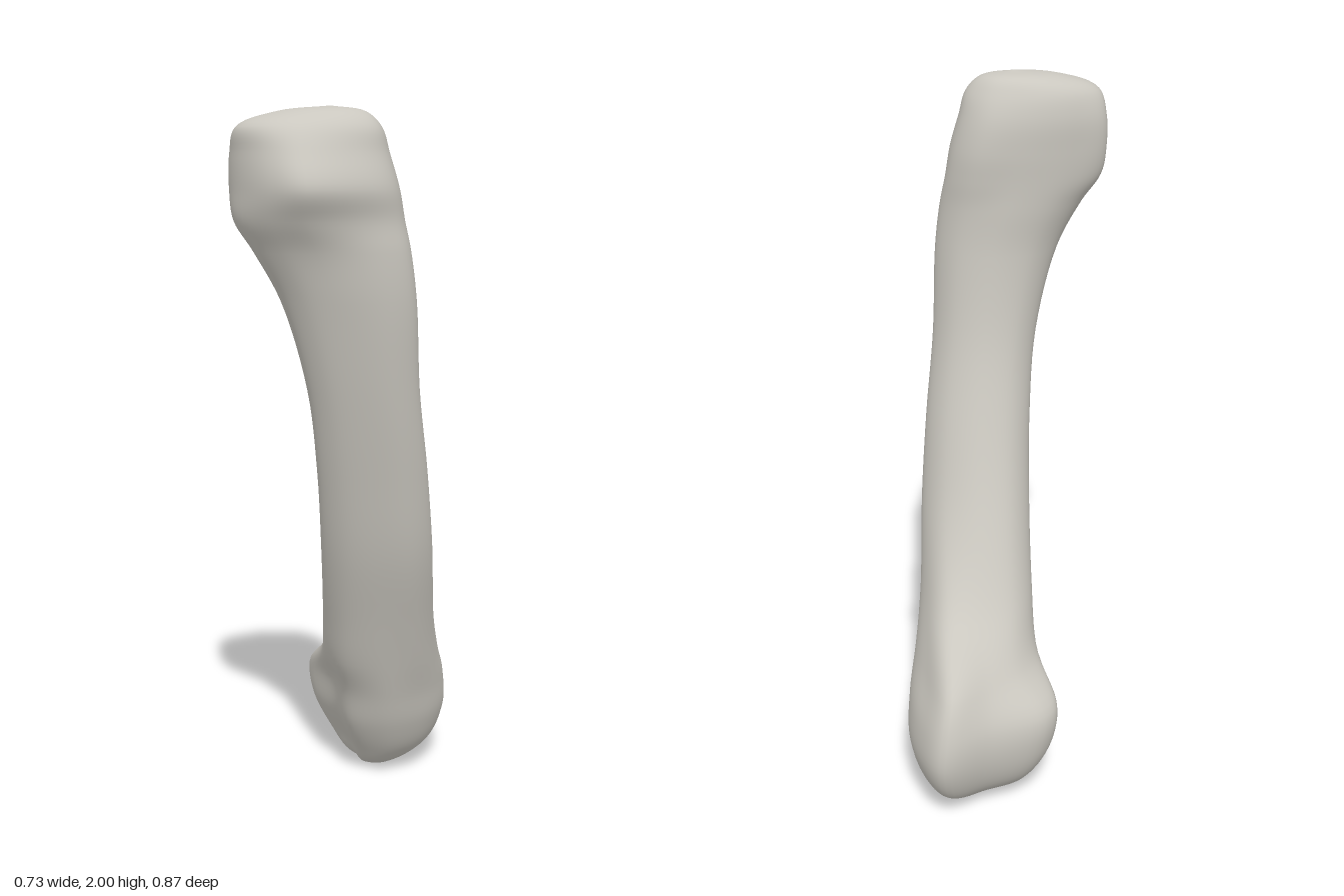
import * as THREE from 'three';
import { mergeVertices } from 'three/addons/utils/BufferGeometryUtils.js';

// Unit outlines (x, z in -1..1), ten matching points each
const HEAD = [[1, -.25], [.87, .33], [.48, .72], [-.35, 1], [-.72, .62], [-1, -.25], [-.95, -.8], [-.45, -1], [.25, -1], [.8, -.75]];
const SHAFT = [[1, .3], [.86, .72], [.4, 1], [-.25, .9], [-.75, .6], [-1, .1], [-.85, -.55], [-.35, -1], [.3, -.96], [.82, -.45]];
const FLARE = [[.98, -.3], [.86, .45], [.4, .92], [-.25, 1], [-.8, .75], [-.95, .2], [-.82, -.3], [-.4, -.68], [.2, -.87], [.85, -1]];
const FOOT = [[1, -.48], [.88, .3], [.4, .85], [-.25, 1], [-.74, .7], [-.82, .08], [-1, -.62], [-.72, -.87], [.1, -.95], [.82, -1]];

// Sections: y, x min, x max, z min, z max, outline mixed into the shaft, amount
const SECTIONS = [
  [.003, .135, .136, -.211, -.21, FOOT, 1],
  [.02, .06, .215, -.3, -.135, FOOT, 1],
  [.085, .015, .32, -.385, -.065, FOOT, 1],
  [.19, -.035, .36, -.428, -.005, FOOT, 1],
  [.3, -.052, .35, -.425, .035, FOOT, 1],
  [.41, -.063, .31, -.378, .073, FLARE, 1],
  [.56, -.078, .255, -.22, .13, FLARE, .5],
  [.78, -.102, .212, -.083, .207, FLARE, .1],
  [1.02, -.13, .172, .016, .263, SHAFT, 0],
  [1.26, -.17, .13, .085, .313, SHAFT, 0],
  [1.5, -.245, .11, .11, .357, HEAD, .1],
  [1.63, -.315, .094, .102, .378, HEAD, .3],
  [1.71, -.36, .082, .096, .402, HEAD, .75],
  [1.79, -.365, .068, .091, .432, HEAD, 1],
  [1.88, -.365, .043, .09, .398, HEAD, .85],
  [1.945, -.355, .02, .107, .36, HEAD, .5],
  [1.985, -.25, -.02, .145, .3, HEAD, .3],
  [2, -.111, -.11, .22, .221, HEAD, .3],
];
const AROUND = 64, STEPS = 6;

// Smooth closed ring for one section
function ring([y, x0, x1, z0, z1, outline, amount]) {
  const points = SHAFT.map(([u, v], i) => new THREE.Vector3(
    (x0 + x1) / 2 + THREE.MathUtils.lerp(u, outline[i][0], amount) * (x1 - x0) / 2,
    y,
    (z0 + z1) / 2 + THREE.MathUtils.lerp(v, outline[i][1], amount) * (z1 - z0) / 2));
  const curve = new THREE.CatmullRomCurve3(points, true);
  return Array.from({ length: AROUND }, (_, i) => curve.getPoint(i / AROUND));
}

// Skin through all sections, smoothed lengthwise
function boneGeometry() {
  const rings = SECTIONS.map(ring);
  const rows = (SECTIONS.length - 1) * STEPS;
  const columns = Array.from({ length: AROUND }, (_, i) =>
    new THREE.CatmullRomCurve3(rings.map((r) => r[i])));
  const positions = [], index = [];
  for (let r = 0; r <= rows; r++) {
    for (const column of columns) positions.push(...column.getPoint(r / rows).toArray());
  }
  for (let r = 0; r < rows; r++) {
    for (let i = 0; i < AROUND; i++) {
      const a = r * AROUND + i, b = r * AROUND + (i + 1) % AROUND;
      index.push(a, a + AROUND, b, b, a + AROUND, b + AROUND);
    }
  }
  // Close the tiny end rings
  for (let i = 1; i < AROUND - 1; i++) {
    const t = rows * AROUND;
    index.push(0, i, i + 1, t, t + i + 1, t + i);
  }
  const geometry = new THREE.BufferGeometry();
  geometry.setAttribute('position', new THREE.Float32BufferAttribute(positions, 3));
  geometry.setIndex(index);
  const merged = mergeVertices(geometry, 1e-5);
  merged.computeVertexNormals();
  return merged;
}

export function createModel() {
  const group = new THREE.Group();
  group.name = 'bone';
  const boneGrey = new THREE.MeshStandardMaterial({ color: 0xcac7bf });
  boneGrey.name = 'boneGrey';
  const bone = new THREE.Mesh(boneGeometry(), boneGrey);
  bone.name = 'boneShaftWithEnds';
  group.add(bone);
  return group;
}
